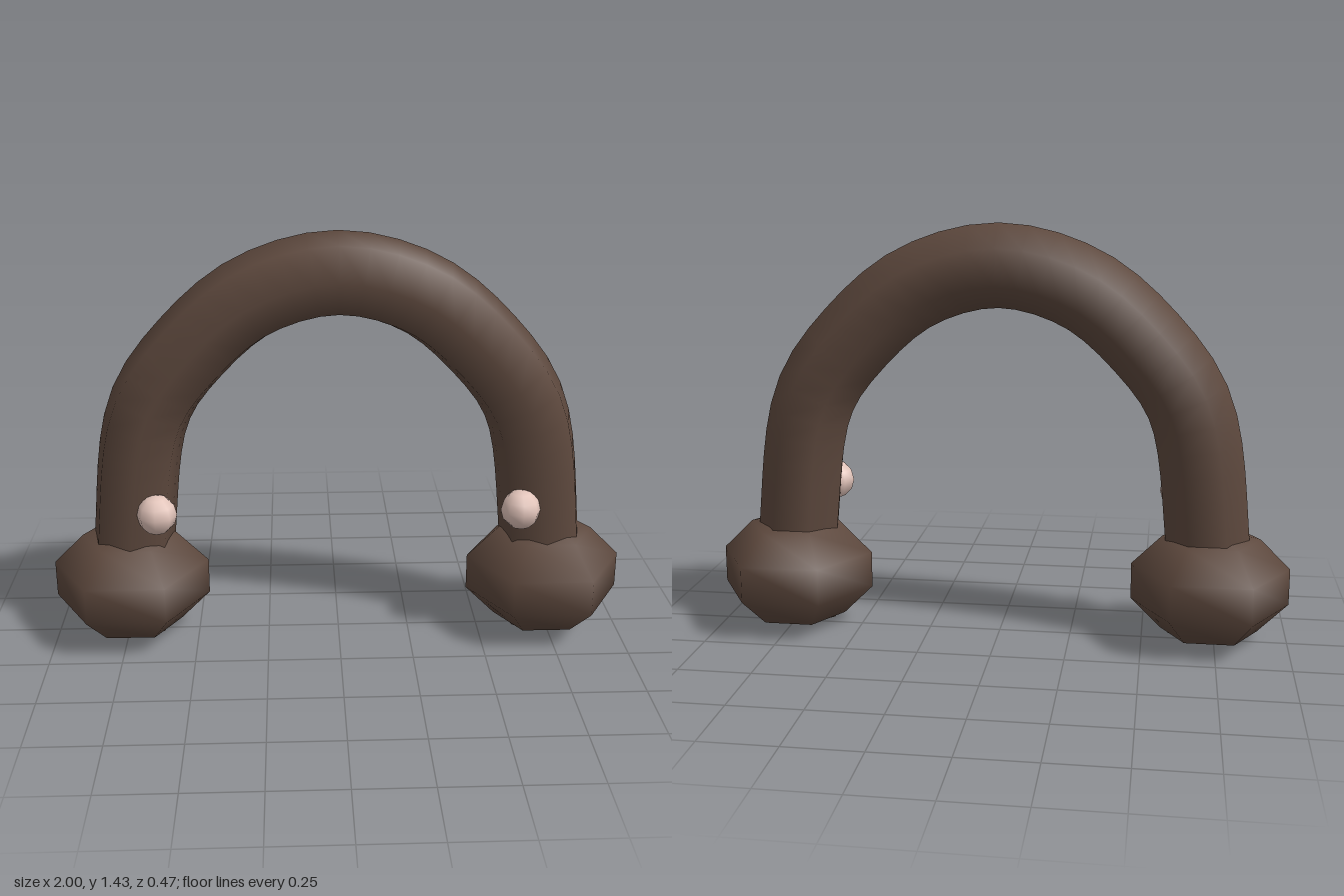
import * as THREE from 'three';

export function createModel() {
  const model = new THREE.Group();
  const brown = new THREE.MeshStandardMaterial({ color: 0x5d483d, side: THREE.DoubleSide });
  brown.name = 'dark brown';
  const pink = new THREE.MeshStandardMaterial({ color: 0xe2c4ba });
  pink.name = 'pale pink';

  const add = (name, geometry, material, x, y, z) => {
    const mesh = new THREE.Mesh(geometry, material);
    mesh.name = name;
    mesh.position.set(x, y, z);
    model.add(mesh);
    return mesh;
  };

  // Seven-sided arch running from foot to foot
  const half = [[0.73, 0.04], [0.713, 0.4], [0.645, 0.825], [0.5, 1.035], [0.28, 1.218]];
  const points = [
    ...half.map(([x, y]) => new THREE.Vector3(-x, y, 0)),
    new THREE.Vector3(0, 1.292, 0),
    ...half.slice().reverse().map(([x, y]) => new THREE.Vector3(x, y, 0)),
  ];
  const path = new THREE.CatmullRomCurve3(points);
  add('arch', new THREE.TubeGeometry(path, 40, 0.145, 7, false), brown, 0, 0, 0);

  // Squashed six-sided feet, and a small bead on the front of each leg
  const footShape = new THREE.SphereGeometry(0.284, 6, 5);
  const beadShape = new THREE.SphereGeometry(0.069, 8, 6);
  for (const [side, s] of [['left', 1], ['right', -1]]) {
    add(side + 'Foot', footShape, brown, s * 0.73, 0.205, 0).scale.y = 0.72;
    add(side + 'Bead', beadShape, pink, s * 0.62, 0.5, 0.13);
  }
  return model;
}
